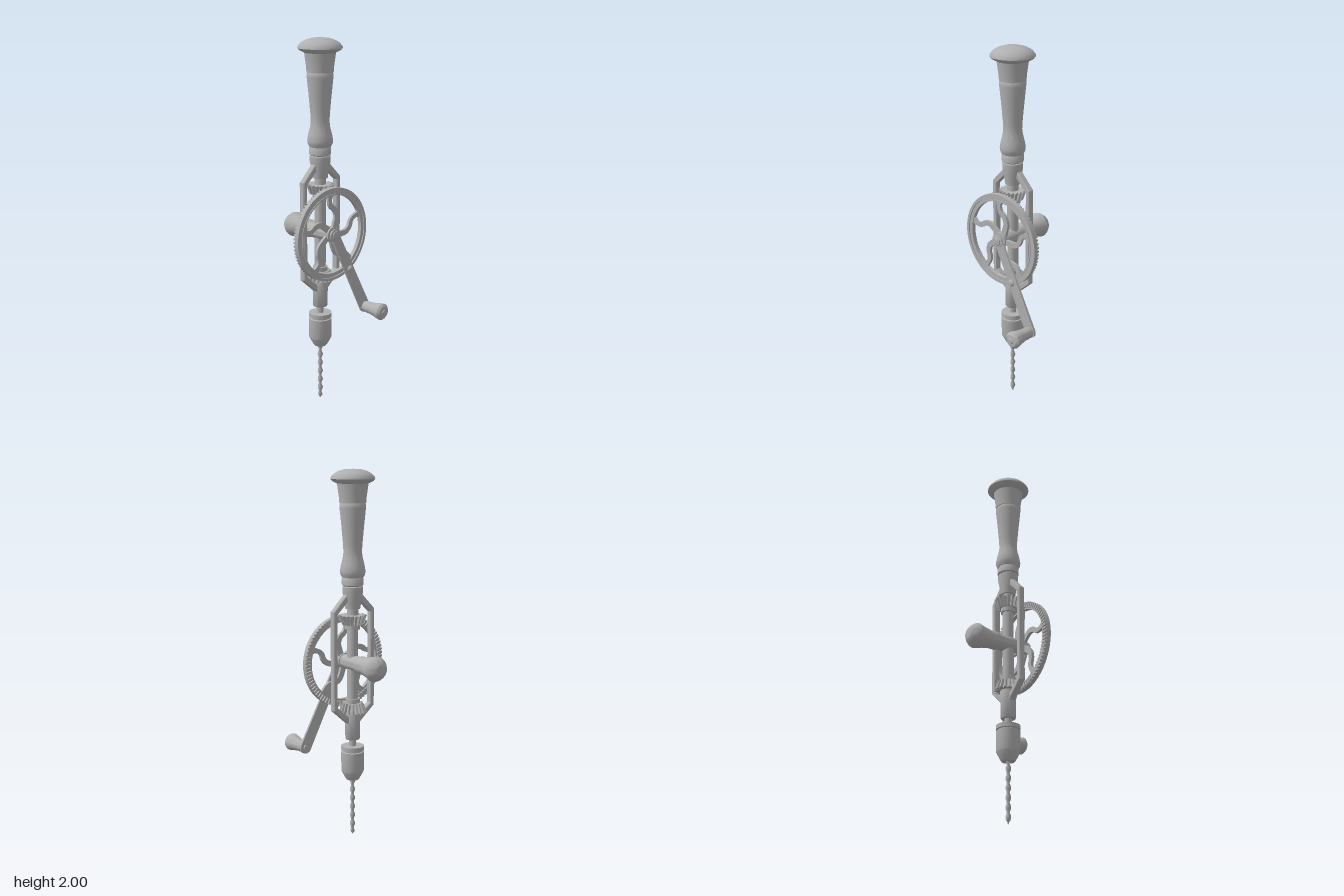
import * as THREE from 'three';
import { toCreasedNormals } from 'three/addons/utils/BufferGeometryUtils.js';

const steel = new THREE.MeshStandardMaterial({ color: 0xb0b0b0 });
steel.name = 'grey steel';

function add(parent, name, geometry, crease = 0.6) {
  const mesh = new THREE.Mesh(toCreasedNormals(geometry, crease), steel);
  mesh.name = name;
  parent.add(mesh);
  return mesh;
}

// Turned part: profile of [radius, height] from bottom to top
const lathe = (profile, segments = 32) =>
  new THREE.LatheGeometry(profile.map(([r, y]) => new THREE.Vector2(r, y)), segments);

const extrude = (shape, depth, extra = {}) =>
  new THREE.ExtrudeGeometry(shape, { depth, bevelEnabled: false, curveSegments: 32, ...extra });

function ring(outer, inner, z0, z1) {
  const shape = new THREE.Shape().absarc(0, 0, outer, 0, Math.PI * 2);
  shape.holes.push(new THREE.Path().absarc(0, 0, inner, 0, Math.PI * 2, true));
  return extrude(shape, z1 - z0).translate(0, 0, z0);
}

// Bevel pinion, wide at the top, tapering downwards
function pinionGeometry() {
  const teeth = 18, points = [], h = 0.052;
  for (let i = 0; i < teeth; i++) {
    [[0, 0.06], [0.22, 0.076], [0.5, 0.076], [0.72, 0.06]].forEach(([f, r]) => {
      const a = ((i + f) / teeth) * Math.PI * 2;
      points.push(new THREE.Vector2(r * Math.cos(a), r * Math.sin(a)));
    });
  }
  const geo = extrude(new THREE.Shape(points), h).rotateX(-Math.PI / 2);
  const p = geo.attributes.position;
  for (let i = 0; i < p.count; i++) {
    const k = 0.74 + 0.26 * (p.getY(i) / h);
    p.setXYZ(i, p.getX(i) * k, p.getY(i), p.getZ(i) * k);
  }
  return geo;
}

// S-curved spoke of tapering width
function spokeShape() {
  const curve = new THREE.CatmullRomCurve3(
    [[0.025, -0.32], [0.065, -0.16], [0.105, -0.07], [0.135, 0.12], [0.155, 0.31], [0.185, 0.36], [0.225, 0.32]]
      .map(([r, a]) => new THREE.Vector3(r * Math.cos(a), r * Math.sin(a), 0)));
  const left = [], right = [], n = 24;
  for (let i = 0; i <= n; i++) {
    const t = i / n, p = curve.getPoint(t), d = curve.getTangent(t);
    const w = 0.017 - 0.006 * t + 0.008 * Math.max(0, t - 0.85) / 0.15;
    left.push(new THREE.Vector2(p.x - d.y * w, p.y + d.x * w));
    right.unshift(new THREE.Vector2(p.x + d.y * w, p.y - d.x * w));
  }
  return new THREE.Shape([...right, ...left]);
}

// Twisted bit with a pointed tip
function bitGeometry() {
  const length = 0.33;
  const shape = new THREE.Shape().absellipse(0, 0, 0.0145, 0.0075, 0, Math.PI * 2);
  const geo = extrude(shape, length, { steps: 90, curveSegments: 8 }).rotateX(-Math.PI / 2);
  const p = geo.attributes.position;
  for (let i = 0; i < p.count; i++) {
    const y = p.getY(i), a = (y / 0.05) * Math.PI;
    const k = Math.min(1, 0.15 + y / 0.022), x = p.getX(i) * k, z = p.getZ(i) * k;
    p.setXYZ(i, x * Math.cos(a) - z * Math.sin(a), y, x * Math.sin(a) + z * Math.cos(a));
  }
  return geo;
}

export function createModel() {
  const model = new THREE.Group();
  model.name = 'handDrill';
  const drill = new THREE.Group();
  drill.name = 'drillBody';
  drill.position.set(-0.015, 0, -0.008);
  model.add(drill);

  // Grip, top knob and ferrule
  add(drill, 'topKnob', lathe([[0, 1.825], [0.07, 1.825], [0.073, 1.86], [0.08, 1.91], [0.082, 1.925],
    [0.108, 1.938], [0.117, 1.948], [0.115, 1.958], [0.1, 1.975], [0.076, 1.989], [0.045, 1.998], [0, 2]], 40));
  add(drill, 'mainHandle', lathe([[0, 1.438], [0.058, 1.438], [0.066, 1.455], [0.068, 1.472], [0.062, 1.505],
    [0.053, 1.54], [0.049, 1.57], [0.051, 1.61], [0.06, 1.71], [0.069, 1.8], [0.07, 1.818], [0.065, 1.826], [0, 1.826]]), 0.7);
  add(drill, 'ferrule', lathe([[0, 1.27], [0.04, 1.27], [0.043, 1.29], [0.055, 1.36], [0.055, 1.388], [0.05, 1.392],
    [0.058, 1.398], [0.058, 1.43], [0.052, 1.44], [0, 1.44]]));

  // Central shaft, lower bearing, spindle
  add(drill, 'centralShaft', new THREE.CylinderGeometry(0.03, 0.03, 0.6, 24).translate(0, 0.98, 0));
  add(drill, 'lowerBearing', lathe([[0, 0.55], [0.037, 0.55], [0.04, 0.555], [0.042, 0.7], [0.038, 0.71], [0, 0.71]]));
  add(drill, 'spindle', new THREE.CylinderGeometry(0.019, 0.019, 0.08, 20).translate(0, 0.53, 0));

  // Chuck and bit
  add(drill, 'chuck', lathe([[0, 0.32], [0.034, 0.32], [0.04, 0.328], [0.062, 0.37], [0.063, 0.48], [0.056, 0.483],
    [0.056, 0.487], [0.063, 0.49], [0.063, 0.512], [0, 0.512]]), 0.5);
  add(drill, 'drillBit', bitGeometry(), 0.8);

  // Side bars of the frame
  for (const side of [1, -1]) {
    const outline = [[0.035, 1.343], [0.05, 1.343], [0.131, 1.26], [0.131, 0.728], [0.04, 0.648],
      [0.025, 0.665], [0.04, 0.68], [0.112, 0.74], [0.112, 1.248], [0.035, 1.322]]
      .map(([x, y]) => new THREE.Vector2(x * side, y));
    const bar = extrude(new THREE.Shape(outline), 0.025,
      { bevelEnabled: true, bevelSize: 0.004, bevelThickness: 0.005, bevelSegments: 1 });
    add(drill, side > 0 ? 'leftFrameBar' : 'rightFrameBar', bar.translate(0, 0, -0.0125), 0.3);
  }

  // Bevel pinions with collars
  add(drill, 'upperPinion', pinionGeometry().translate(0, 1.184, 0), 0.3);
  add(drill, 'lowerPinion', pinionGeometry().rotateX(Math.PI).translate(0, 0.756, 0), 0.3);
  for (const y of [1.175, 0.765])
    add(drill, 'pinionCollar', new THREE.CylinderGeometry(0.04, 0.04, 0.03, 24).translate(0, y, 0));

  // Cross axle and rear side handle
  const axle = add(drill, 'crossAxle', lathe([[0, -0.08], [0.036, -0.08], [0.042, -0.03], [0.042, 0.03],
    [0.045, 0.085], [0, 0.085]]).rotateX(-Math.PI / 2));
  axle.position.y = 0.975;
  const sideHandle = add(drill, 'sideHandle', lathe([[0, 0.068], [0.045, 0.068], [0.049, 0.08], [0.048, 0.115],
    [0.055, 0.155], [0.068, 0.202], [0.064, 0.215], [0.051, 0.234], [0.032, 0.248], [0.026, 0.25], [0, 0.25]])
    .rotateX(-Math.PI / 2), 0.5);
  sideHandle.position.y = 0.975;

  // Drive wheel with face teeth, grooved rim and curved spokes
  const wheel = new THREE.Group();
  wheel.name = 'driveWheel';
  wheel.position.set(0, 0.975, 0.008);
  drill.add(wheel);
  add(wheel, 'rim', ring(0.254, 0.214, 0.068, 0.086));
  add(wheel, 'outerLip', ring(0.254, 0.238, 0.085, 0.092));
  add(wheel, 'innerLip', ring(0.222, 0.214, 0.085, 0.09));
  const teeth = 78;
  for (let i = 0; i < teeth; i++) {
    const tooth = new THREE.BoxGeometry(0.03, 0.012, 0.012).translate(0.2385, 0, 0.064);
    add(wheel, 'tooth', tooth.rotateZ((i / teeth) * Math.PI * 2));
  }
  for (let i = 0; i < 5; i++) {
    const spoke = add(wheel, 'spoke', extrude(spokeShape(), 0.016).translate(0, 0, 0.069));
    spoke.rotation.z = ((2 + 72 * i) * Math.PI) / 180;
  }
  add(wheel, 'wheelHub', new THREE.CylinderGeometry(0.042, 0.042, 0.035, 28).rotateX(Math.PI / 2).translate(0, 0, 0.077));
  add(wheel, 'hubScrew', lathe([[0, 0.1], [0.036, 0.106], [0.036, 0.112], [0.024, 0.113], [0.022, 0.117],
    [0.012, 0.121], [0, 0.122]]).rotateX(Math.PI / 2));

  // Crank arm with screw and knob
  const crank = new THREE.Group();
  crank.name = 'crank';
  crank.rotation.z = Math.atan2(0.237, 0.459);
  wheel.add(crank);
  const reach = Math.hypot(0.237, 0.459);
  const arm = new THREE.Shape().absarc(0, 0, 0.028, 0, Math.PI).absarc(0, -reach, 0.034, Math.PI, Math.PI * 2);
  add(crank, 'crankArm', extrude(arm, 0.012).translate(0, 0, 0.095));
  const screw = add(crank, 'armScrew', lathe([[0, 0.085], [0.011, 0.085], [0.011, 0.111], [0.019, 0.112], [0.019, 0.117],
    [0.012, 0.124], [0, 0.126]], 20).rotateX(Math.PI / 2));
  screw.position.y = -0.237;
  const knob = add(crank, 'crankKnob', lathe([[0, 0.107], [0.028, 0.107], [0.031, 0.118], [0.033, 0.16], [0.038, 0.19],
    [0.047, 0.232], [0.046, 0.237], [0.034, 0.248], [0.016, 0.25], [0.012, 0.255], [0, 0.256]]).rotateX(Math.PI / 2), 0.5);
  knob.position.y = -reach;
  const rivet = add(crank, 'knobRivet', new THREE.CylinderGeometry(0.016, 0.016, 0.008, 20).rotateX(Math.PI / 2));
  rivet.position.set(0, -reach, 0.092);

  return model;
}
